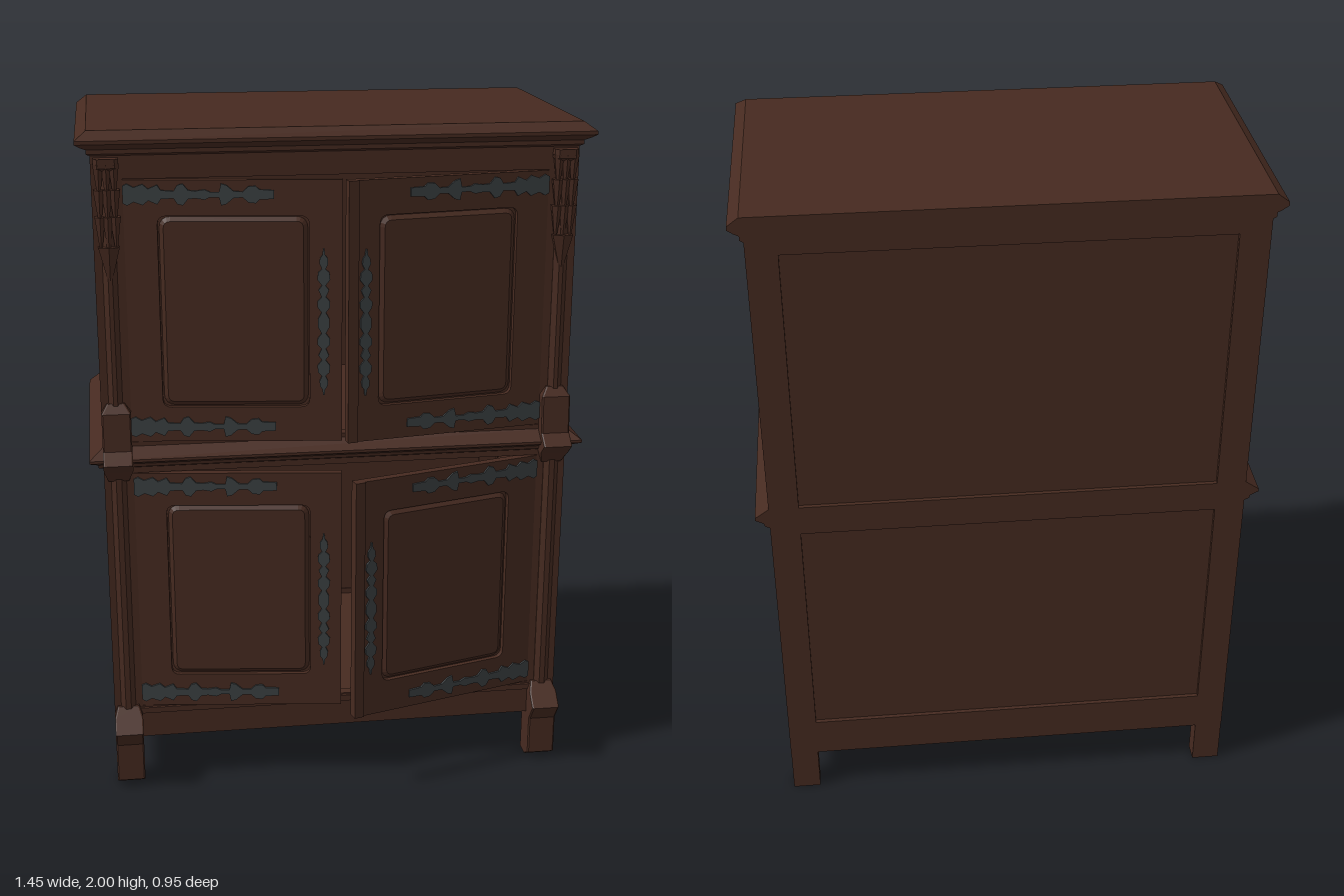
import * as THREE from 'three';

const wood = new THREE.MeshStandardMaterial({ color: 0x462a20 });
wood.name = 'dark brown wood';
const iron = new THREE.MeshStandardMaterial({ color: 0x3b4042 });
iron.name = 'dark iron';

const X = 0.685, FRONT = 0.305, BACK = -0.47;

function add(parent, name, geometry, material = wood) {
  const mesh = new THREE.Mesh(geometry, material);
  mesh.name = name;
  parent.add(mesh);
  return mesh;
}

// Box given by its limits
function box(parent, name, x0, x1, y0, y1, z0, z1) {
  const g = new THREE.BoxGeometry(x1 - x0, y1 - y0, z1 - z0);
  g.translate((x0 + x1) / 2, (y0 + y1) / 2, (z0 + z1) / 2);
  return add(parent, name, g);
}

// Rectangle with optional rounded corners
function rect(Type, [x0, x1, y0, y1], r = 0) {
  const s = new Type();
  s.moveTo(x0 + r, y0);
  s.lineTo(x1 - r, y0);
  if (r) s.quadraticCurveTo(x1, y0, x1, y0 + r);
  s.lineTo(x1, y1 - r);
  if (r) s.quadraticCurveTo(x1, y1, x1 - r, y1);
  s.lineTo(x0 + r, y1);
  if (r) s.quadraticCurveTo(x0, y1, x0, y1 - r);
  s.lineTo(x0, y0 + r);
  if (r) s.quadraticCurveTo(x0, y0, x0 + r, y0);
  return s;
}

const inset = ([a, b, c, d], m) => [a + m, b - m, c + m, d - m];

// Flat board with openings, its front face at z = 0
function board(outline, holes, depth, r = 0) {
  const s = rect(THREE.Shape, outline);
  s.holes = holes.map(h => rect(THREE.Path, h, r));
  const g = new THREE.ExtrudeGeometry(s, { depth, bevelEnabled: false, curveSegments: 4 });
  return g.translate(0, 0, -depth);
}

// Raised panel with sloping edges, its front face at z = 0
function raisedPanel(outline, bevel, height, r) {
  const g = new THREE.ExtrudeGeometry(rect(THREE.Shape, inset(outline, bevel), r), {
    depth: 0.002, bevelSize: bevel, bevelThickness: height, bevelSegments: 1, curveSegments: 4 });
  return g.translate(0, 0, -0.002 - height);
}

// Solid through horizontal rings of [x, y, z], counter-clockwise from above
function loft(rings) {
  const n = rings[0].length, idx = [];
  for (let k = 0; k < rings.length - 1; k++) {
    for (let i = 0; i < n; i++) {
      const a = k * n + i, b = k * n + (i + 1) % n;
      idx.push(a, b, b + n, a, b + n, a + n);
    }
  }
  const t = (rings.length - 1) * n;
  for (let i = 1; i < n - 1; i++) idx.push(0, i + 1, i, t, t + i, t + i + 1);
  const g = new THREE.BufferGeometry();
  g.setAttribute('position', new THREE.Float32BufferAttribute(rings.flat(2), 3));
  g.setIndex(idx);
  const flat = g.toNonIndexed();
  flat.computeVertexNormals();
  return flat;
}

// Moulding that juts out at the front and sides, flush at the back
const moulding = profile => loft(profile.map(([y, o]) => [
  [-X - o, y, FRONT + o], [X + o, y, FRONT + o], [X + o, y, BACK], [-X - o, y, BACK]]));

// Post with chamfered front corners: profile of [y, half width, front z]
const post = (profile, back, chamfer) => loft(profile.map(([y, h, z]) => [
  [-h, y, z - chamfer], [-h + chamfer, y, z], [h - chamfer, y, z], [h, y, z - chamfer], [h, y, back], [-h, y, back]]));

// Leafy iron plate: half widths along its length, mirrored about the axis
function ironPlate(points) {
  const up = points.map(([x, h]) => new THREE.Vector2(x, h));
  const down = points.map(([x, h]) => new THREE.Vector2(x, -h)).reverse();
  return new THREE.ExtrudeGeometry(new THREE.Shape([...down, ...up]), { depth: 0.006, bevelEnabled: false });
}
const STRAP = [[0, 0.024], [0.012, 0.03], [0.03, 0.02], [0.055, 0.029], [0.07, 0.016], [0.095, 0.027], [0.105, 0.012],
  [0.14, 0.01], [0.15, 0.026], [0.165, 0.03], [0.18, 0.012], [0.2, 0.01], [0.225, 0.014], [0.24, 0.007], [0.265, 0.007],
  [0.27, 0.03], [0.285, 0.026], [0.305, 0.009], [0.33, 0.008], [0.345, 0.022], [0.365, 0.024], [0.375, 0.014], [0.415, 0.012]];
// Half of the handle plate, mirrored end to end
const HALF_PULL = [[0.012, 0.016], [0.03, 0.006], [0.045, 0.017], [0.062, 0.018], [0.075, 0.006], [0.095, 0.015],
  [0.108, 0.005], [0.125, 0.018], [0.145, 0.016], [0.155, 0.005], [0.17, 0.012], [0.185, 0.011], [0.195, 0.004], [0.212, 0.002]];
const PULL = [...HALF_PULL.map(([x, h]) => [-x, h]).reverse(), ...HALF_PULL];

// Hinged door; side -1 hangs at -x, side 1 at +x
function door(parent, side, y0, y1, width, degrees) {
  const d = new THREE.Group(), h = y1 - y0;
  d.name = (y0 > 1 ? 'upper' : 'lower') + (side > 0 ? 'LeftDoor' : 'RightDoor');
  d.position.set(side * 0.6, y0, FRONT);
  d.rotation.y = side * THREE.MathUtils.degToRad(degrees);
  parent.add(d);
  const span = (a, b) => side < 0 ? [a, b] : [-b, -a];
  const opening = [...span(0.092, width - 0.092), 0.103, h - 0.1];
  add(d, 'doorFrame', board([...span(0, width), 0, h], [opening], 0.025, 0.025));
  const bed = inset(opening, -0.01);
  box(d, 'doorBed', ...bed, -0.022, -0.014);
  add(d, 'doorPanel', raisedPanel(inset(opening, 0.004), 0.012, 0.01, 0.02)).position.z = -0.003;
  // Meeting strip on one door of each pair
  if (side > 0) box(d, 'meetingStrip', ...span(width - 0.03, width), 0, h, -0.002, 0.006);
  for (const y of [0.045, h - 0.04]) {
    const strap = add(d, 'hingeStrap', ironPlate(STRAP), iron);
    strap.position.y = y;
    if (side > 0) strap.rotation.z = Math.PI;
  }
  const pull = add(d, 'handlePlate', ironPlate(PULL), iron);
  pull.rotation.z = Math.PI / 2;
  pull.position.set(-side * (width - 0.052), h * 0.465, 0);
}

// Side wall with four moulded panels
function sideWall(parent, side) {
  const wall = new THREE.Group();
  wall.name = side > 0 ? 'leftSide' : 'rightSide';
  wall.position.x = side * X;
  wall.rotation.y = side * Math.PI / 2;
  parent.add(wall);
  const span = (a, b) => side > 0 ? [-b, -a] : [a, b];
  const outer = [], inner = [];
  for (const [y0, y1] of [[1.12, 1.89], [0.27, 1.0]]) {
    for (const [z0, z1] of [[-0.02, 0.25], [-0.415, -0.14]]) {
      outer.push([...span(z0, z1), y0, y1]);
      inner.push([...span(z0 + 0.055, z1 - 0.05), y0 + 0.055, y1 - 0.055]);
    }
  }
  add(wall, 'sideFrame', board([...span(BACK, FRONT), 0.145, 1.94], outer, 0.025));
  outer.forEach((o, i) => {
    const hole = inset(inner[i], 0.013);
    add(wall, 'panelSurround', board(o, [hole], 0.014)).position.z = -0.009;
    add(wall, 'panelMoulding', board(inner[i], [hole], 0.012));
    box(wall, 'panelBed', ...inset(hole, -0.005), -0.024, -0.015);
  });
}

// Front corner post with foot, colonnettes and carved drop
function cornerPost(parent, side) {
  const g = new THREE.Group();
  g.name = side > 0 ? 'leftCornerPost' : 'rightCornerPost';
  g.position.x = side * 0.643;
  parent.add(g);
  const w = 0.042;
  add(g, 'frontFoot', post([[0, w, 0.305], [0.025, w, 0.345], [0.145, w, 0.345],
    [0.2, w, 0.385], [0.235, w, 0.345], [0.26, 0.032, 0.315]], 0.255, 0.004));
  add(g, 'lowerColonnette', post([[0.25, 0.022, 0.322], [1.0, 0.022, 0.322]], 0.29, 0.014));
  add(g, 'middleBlock', post([[0.99, 0.03, 0.315], [1.03, w, 0.35], [1.06, w, 0.385],
    [1.09, w, 0.345], [1.2, w, 0.338], [1.225, 0.025, 0.315]], 0.29, 0.004));
  add(g, 'upperColonnette', post([[1.21, 0.02, 0.32], [1.91, 0.02, 0.32]], 0.29, 0.014));
  add(g, 'carvedCap', post([[1.88, 0.022, 0.32], [1.9, 0.034, 0.338], [1.925, 0.034, 0.338]], 0.29, 0.01));
  // Overlapping carved leaves, ending in one long point
  const rows = [[1.85, 3, 0.017], [1.78, 3, 0.018], [1.705, 3, 0.017], [1.62, 1, 0.034]];
  rows.forEach(([y, count, radius], row) => {
    for (let i = 0; i < count; i++) {
      const leaf = new THREE.ConeGeometry(radius, 0.12, 6).toNonIndexed();
      leaf.rotateX(Math.PI);
      leaf.scale(1, 1, count > 1 ? 1 : 0.6);
      leaf.computeVertexNormals();
      add(g, 'carvedLeaf', leaf).position.set((i - (count - 1) / 2) * 0.021, y, 0.322 - row * 0.002);
    }
  });
}

export function createModel() {
  const model = new THREE.Group();
  model.name = 'cupboard';

  // Carcass
  const openings = [[-0.6, 0.6, 1.105, 1.865], [-0.6, 0.6, 0.255, 1.01]];
  add(model, 'frontFrame', board([-X + 0.02, X - 0.02, 0.15, 1.94], openings, 0.03)).position.z = FRONT;
  const backPanels = [[-0.6, 0.6, 1.09, 1.89], [-0.6, 0.6, 0.27, 1.0]];
  const back = add(model, 'backFrame', board([-X + 0.02, X - 0.02, 0.145, 1.94], backPanels, 0.03));
  back.rotation.y = Math.PI;
  back.position.z = BACK;
  for (const p of backPanels) box(model, 'backPanel', ...p, BACK + 0.012, BACK + 0.025);
  box(model, 'floor', -0.665, 0.665, 0.235, 0.252, BACK + 0.02, FRONT - 0.02);
  box(model, 'bottomBead', -0.61, 0.61, 0.232, 0.25, 0.29, 0.313);

  // Mouldings
  add(model, 'cornice', moulding([[1.93, 0], [1.936, 0.01], [1.948, 0.01], [1.955, 0.024],
    [1.966, 0.04], [1.976, 0.04], [2.0, 0.008]]));
  add(model, 'middleMoulding', moulding([[1.028, 0], [1.034, 0.014], [1.044, 0.016], [1.056, 0.04],
    [1.064, 0.04], [1.092, 0]]));

  for (const side of [-1, 1]) {
    sideWall(model, side);
    cornerPost(model, side);
    const x = side * 0.643;
    box(model, 'backFoot', x - 0.0415, x + 0.0415, 0, 0.235, BACK + 0.001, -0.415);
  }

  // Doors, each left slightly open
  door(model, -1, 1.107, 1.863, 0.604, 7);
  door(model, 1, 1.107, 1.863, 0.595, 9.2);
  door(model, -1, 0.257, 1.008, 0.604, 7);
  door(model, 1, 0.257, 1.008, 0.598, 16.2);
  return model;
}
